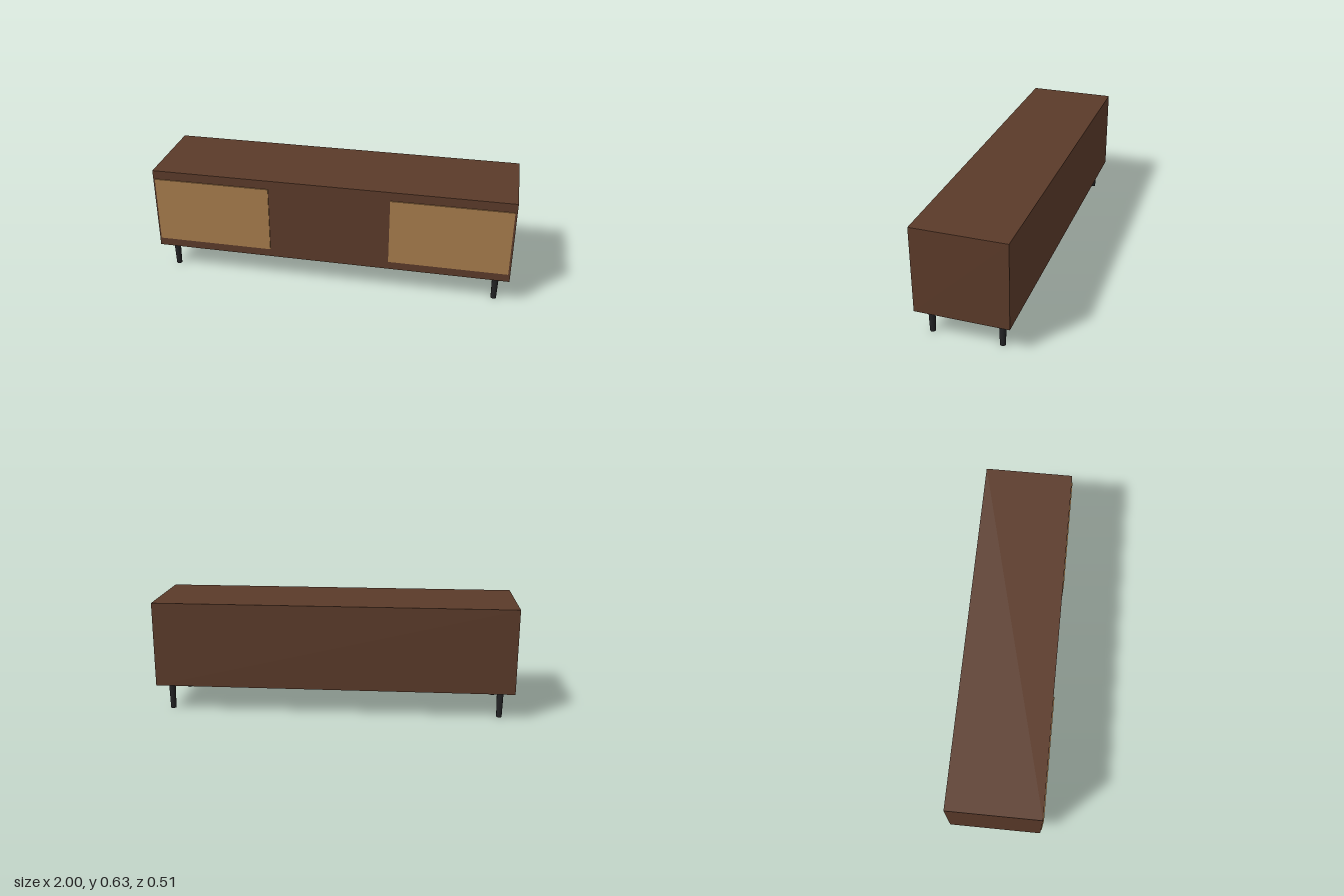
import * as THREE from 'three';

export function createModel() {
  const model = new THREE.Group();
  const walnut = new THREE.MeshStandardMaterial({ color: 0x5a3a29 });
  const oak = new THREE.MeshStandardMaterial({ color: 0xa47a4b });
  const black = new THREE.MeshStandardMaterial({ color: 0x222224 });

  const add = (name, geometry, material, x, y, z) => {
    const mesh = new THREE.Mesh(geometry, material);
    mesh.name = name;
    mesh.position.set(x, y, z);
    model.add(mesh);
  };

  // Cabinet body
  const bottom = 0.152, top = 0.627, back = -0.254, front = 0.248;
  add('cabinet', new THREE.BoxGeometry(2, top - bottom, front - back), walnut,
    0, (top + bottom) / 2, (front + back) / 2);

  // Door panels, standing slightly proud of the front
  const door = new THREE.BoxGeometry(0.652, 0.377, 0.012);
  // Tapered round legs
  const leg = new THREE.CylinderGeometry(0.0188, 0.0152, bottom, 16);

  for (const [side, s] of [['left', 1], ['right', -1]]) {
    add(side + 'Door', door, oak, s * 0.6625, 0.3885, 0.248);
    add(side + 'FrontLeg', leg, black, s * 0.925, bottom / 2, 0.185);
    add(side + 'BackLeg', leg, black, s * 0.925, bottom / 2, -0.191);
  }
  return model;
}
